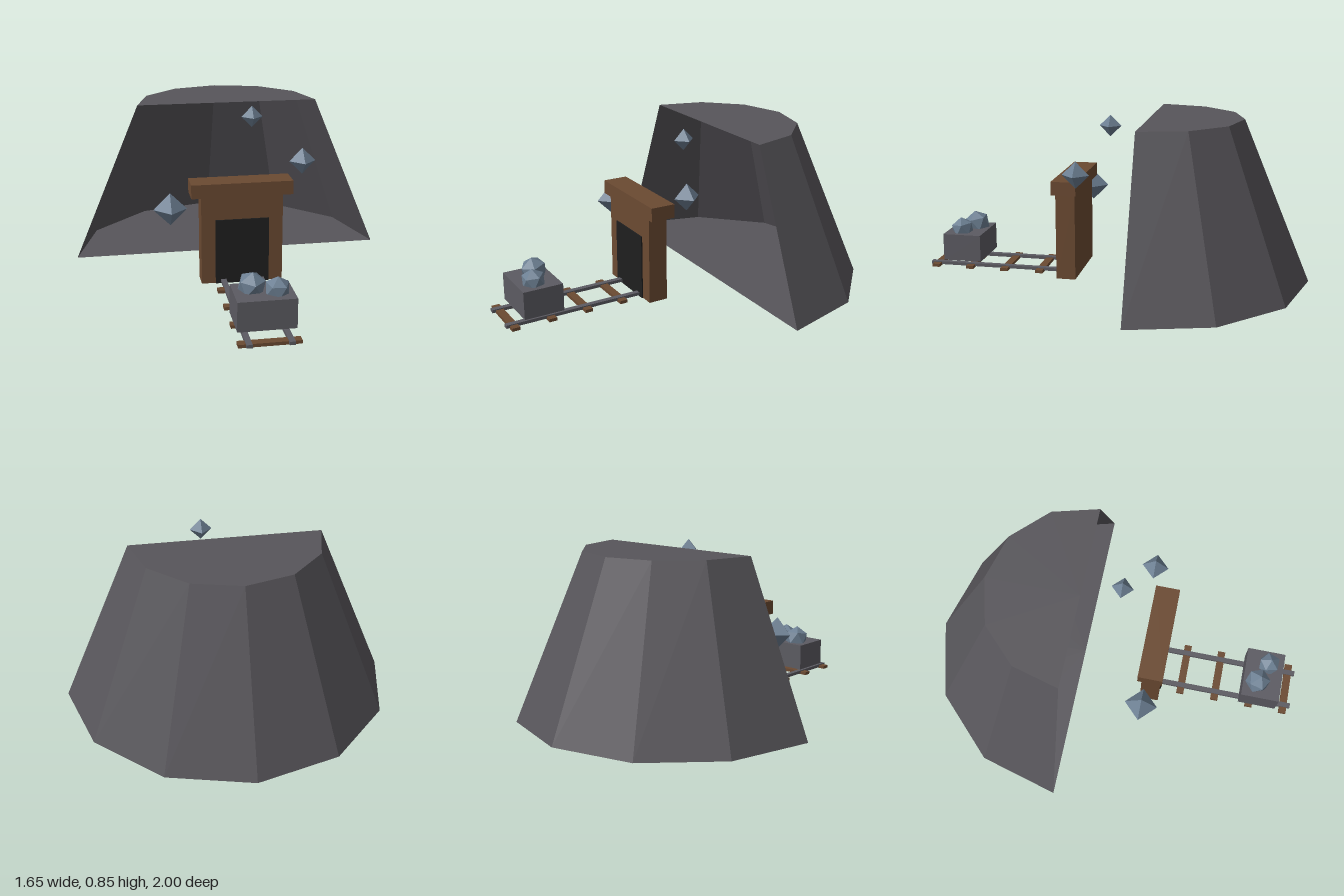
import * as THREE from 'three';

const material = (name, color, extra = {}) => {
  const m = new THREE.MeshStandardMaterial({ color, flatShading: true, ...extra });
  m.name = name;
  return m;
};

export function createModel() {
  const rock = material('rock', 0x57555a, { side: THREE.DoubleSide });
  const timber = material('timber', 0x6b4a32);
  const dark = material('darkness', 0x1f1f1f);
  const iron = material('iron', 0x5c5b62);
  const crystal = material('crystal', 0x6c7f92);

  const model = new THREE.Group();
  model.name = 'mineEntrance';

  const add = (name, geometry, mat, x, y, z) => {
    const mesh = new THREE.Mesh(geometry, mat);
    mesh.name = name;
    mesh.position.set(x, y, z);
    model.add(mesh);
    return mesh;
  };
  // Box given by its size, centre x, bottom y and centre z
  const box = (name, mat, w, h, d, x, y, z) =>
    add(name, new THREE.BoxGeometry(w, h, d), mat, x, y + h / 2, z);

  // Hollow half-cone hill, open towards the front
  add('hill', new THREE.CylinderGeometry(0.475, 0.823, 0.827, 6, 1, false, Math.PI / 2, Math.PI),
    rock, 0, 0.4135, -0.177);

  // Timber portal with a dark doorway set into it
  box('portal', timber, 0.41, 0.453, 0.1, 0, 0, 0.227);
  box('lintel', timber, 0.508, 0.07, 0.127, 0, 0.453, 0.224);
  box('doorway', dark, 0.27, 0.336, 0.08, 0, -0.001, 0.243);

  // Track
  for (const z of [0.39, 0.582, 0.774, 0.963]) box('sleeper', timber, 0.285, 0.016, 0.04, 0, 0, z);
  for (const side of [-1, 1]) box('rail', iron, 0.027, 0.016, 0.73, side * 0.095, 0.005, 0.635);

  // Ore cart and its load
  box('cart', iron, 0.27, 0.142, 0.204, 0, 0.041, 0.814);
  const ore = (r, x, y, z, rx, ry, rz) =>
    add('ore', new THREE.IcosahedronGeometry(r, 0), crystal, x, y, z).rotation.set(rx, ry, rz);
  ore(0.068, -0.048, 0.204, 0.787, 0.2, 0.4, 0.5);
  ore(0.061, 0.06, 0.2, 0.834, 0.15, 0.9, 0.5);

  // Floating crystals
  for (const [r, x, y, z] of [
    [0.084, -0.35, 0.378, 0.2],
    [0.068, 0.333, 0.58, 0.14],
    [0.055, 0.095, 0.79, 0.013],
  ]) add('floatingCrystal', new THREE.OctahedronGeometry(r, 0), crystal, x, y, z);

  return model;
}
